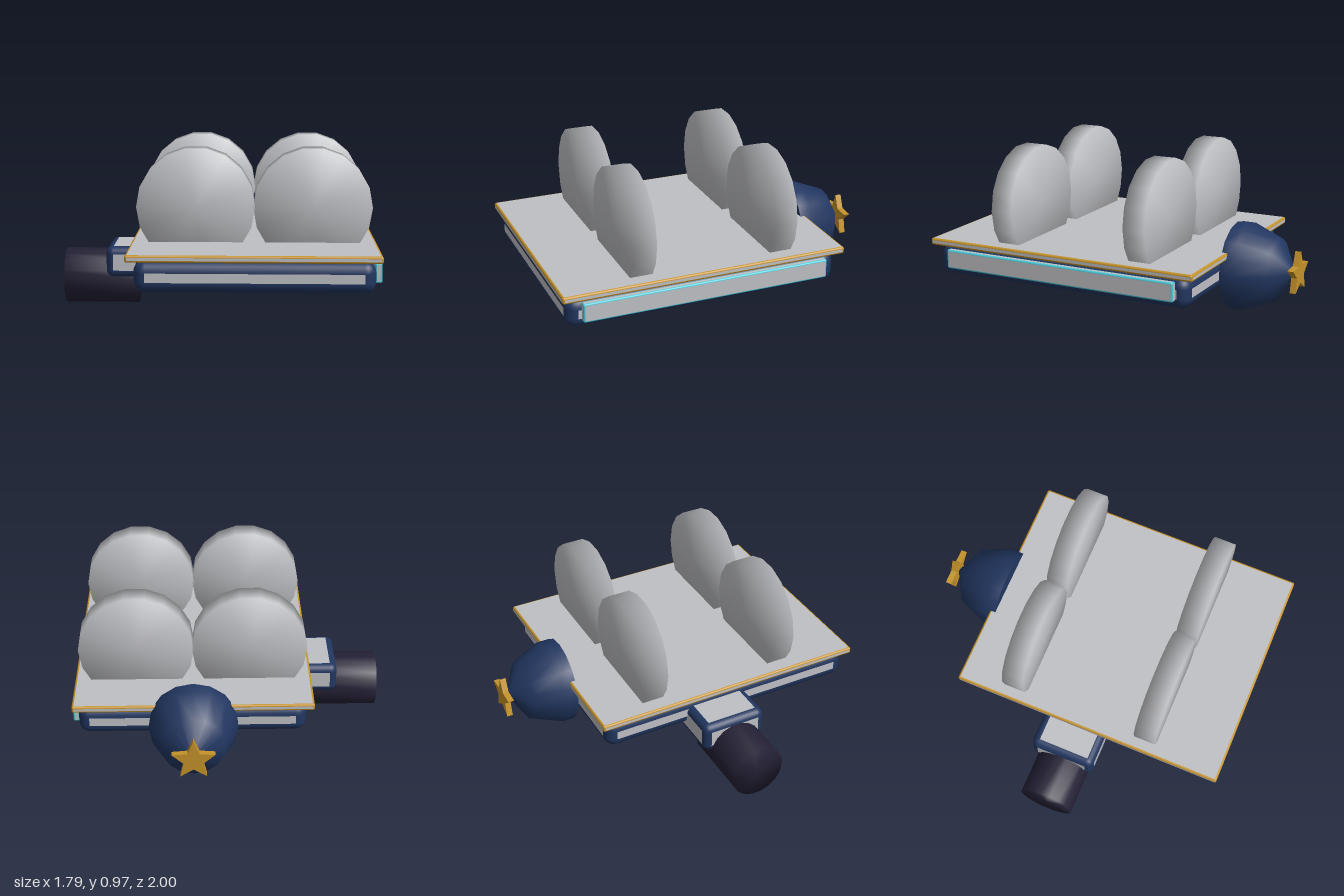
import * as THREE from 'three';
import { mergeVertices } from 'three/addons/utils/BufferGeometryUtils.js';
import { RoundedBoxGeometry } from 'three/addons/geometries/RoundedBoxGeometry.js';

function material(name, color) {
  const m = new THREE.MeshStandardMaterial({ color });
  m.name = name;
  return m;
}

// Rounded box whose flat faces and rounded edges are separate material groups
function trimmedBox([x0, x1], [y0, y1], [z0, z1], radius) {
  const g = new RoundedBoxGeometry(x1 - x0, y1 - y0, z1 - z0, 3, radius);
  const n = g.attributes.normal;
  const isFlat = (i) => Math.max(Math.abs(n.getX(i)), Math.abs(n.getY(i)), Math.abs(n.getZ(i))) > 0.9999;
  const flat = [], edge = [];
  for (let i = 0; i < n.count; i += 3) {
    const target = isFlat(i) && isFlat(i + 1) && isFlat(i + 2) ? flat : edge;
    target.push(i, i + 1, i + 2);
  }
  g.clearGroups();
  g.setIndex([...flat, ...edge]);
  g.addGroup(0, flat.length, 0);
  g.addGroup(flat.length, edge.length, 1);
  g.translate((x0 + x1) / 2, (y0 + y1) / 2, (z0 + z1) / 2);
  return g;
}

// Cylinder with normals blended over its rims
function softCylinder(radius, length, thetaStart) {
  const g = new THREE.CylinderGeometry(radius, radius, length, 18, 1, false, thetaStart);
  g.deleteAttribute('normal');
  g.deleteAttribute('uv');
  const merged = mergeVertices(g);
  merged.clearGroups();
  merged.computeVertexNormals();
  return merged;
}

export function createModel() {
  const grey = material('light grey', 0xbfc0c4);
  const navy = material('navy blue', 0x213660);
  const gold = material('gold', 0xc4922a);
  const dark = material('dark violet', 0x242035);
  const cyan = material('cyan', 0x4cc8d8);

  const model = new THREE.Group();
  model.name = 'model';
  const add = (name, geometry, mat, x = 0, y = 0, z = 0) => {
    const mesh = new THREE.Mesh(geometry, mat);
    mesh.name = name;
    mesh.position.set(x, y, z);
    model.add(mesh);
    return mesh;
  };

  // Slabs with coloured rims
  add('body', trimmedBox([-0.43, 0.86], [0.235, 0.41], [-0.61, 0.97], 0.062), [grey, navy]);
  add('platform', trimmedBox([-0.47, 0.89], [0.41, 0.45], [-0.65, 1.0], 0.012), [grey, gold]);
  add('sidePanel', trimmedBox([0.855, 0.895], [0.285, 0.395], [-0.54, 0.89], 0.01), [grey, cyan]);
  add('arm', trimmedBox([-0.65, -0.08], [0.18, 0.36], [-0.1, 0.29], 0.042), [grey, navy]);

  // Drum at the end of the arm
  add('drum', softCylinder(0.162, 0.43, 0).rotateZ(Math.PI / 2), dark, -0.685, 0.16, 0.102);

  // Four upright discs
  const disc = softCylinder(0.329, 0.13, Math.PI / 2).rotateX(Math.PI / 2);
  for (const z of [-0.295, 0.53]) {
    for (const x of [-0.113, 0.535]) add('disc', disc, grey, x, 0.645, z);
  }

  // Domed tail, turned about the z axis
  const profile = [[0.25, 0], [0.25, 0.075], [0.178, 0.252], [0, 0.355]]
    .map(([r, h]) => new THREE.Vector2(r, h));
  add('tailDome', new THREE.LatheGeometry(profile, 16).rotateX(-Math.PI / 2), navy, 0.21, 0.325, -0.615);
  add('tailDomeBase', new THREE.CircleGeometry(0.25, 16), navy, 0.21, 0.325, -0.615);

  // Star on the tail
  const star = new THREE.Shape();
  for (let i = 0; i < 10; i++) {
    const r = i % 2 ? 0.056 : 0.124;
    const a = Math.PI / 2 + (i * Math.PI) / 5;
    star[i ? 'lineTo' : 'moveTo'](r * Math.cos(a), r * Math.sin(a));
  }
  star.closePath();
  const starGeometry = new THREE.ExtrudeGeometry(star, { depth: 0.035, bevelEnabled: false });
  add('star', starGeometry, gold, 0.21, 0.325, -1.0);

  return model;
}
